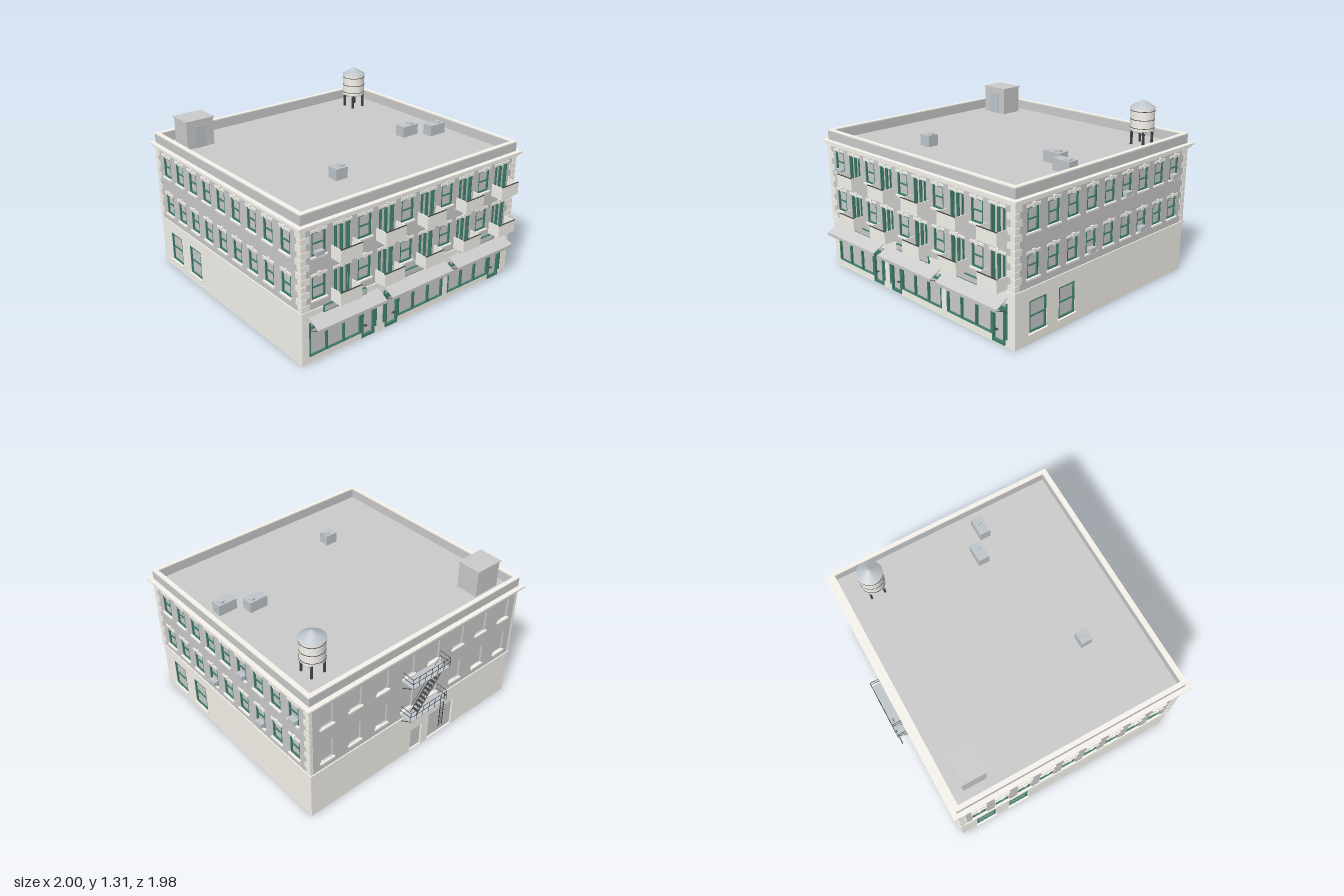
import * as THREE from 'three';

const mat = (color) => new THREE.MeshStandardMaterial({ color, side: THREE.DoubleSide });
const grey = mat(0xcccccc), trim = mat(0xf6f4ec), green = mat(0x3f7f6c), steel = mat(0xbfc6cb), dark = mat(0x444444);
const HX = 0.965, HZ = 0.89, T = 0.02;

function add(parent, name, geo, material, x = 0, y = 0, z = 0) {
  const m = new THREE.Mesh(geo, material);
  m.name = name;
  m.position.set(x, y, z);
  parent.add(m);
  return m;
}

// box given by its min and max corners
function box(parent, name, material, x0, x1, y0, y1, z0, z1) {
  return add(parent, name, new THREE.BoxGeometry(x1 - x0, y1 - y0, z1 - z0), material,
    (x0 + x1) / 2, (y0 + y1) / 2, (z0 + z1) / 2);
}

// round bar between two points
function bar(parent, name, material, a, b, r = 0.003) {
  const p = new THREE.Vector3(...a), q = new THREE.Vector3(...b);
  const m = add(parent, name, new THREE.CylinderGeometry(r, r, p.distanceTo(q), 6), material);
  m.position.copy(p).lerp(q, 0.5);
  m.quaternion.setFromUnitVectors(new THREE.Vector3(0, 1, 0), q.sub(p).normalize());
}

function rectPath(P, x0, x1, y0, y1) {
  const p = new P();
  p.moveTo(x0, y0); p.lineTo(x1, y0); p.lineTo(x1, y1); p.lineTo(x0, y1); p.closePath();
  return p;
}

// upright panel with rectangular holes [x0, x1, y0, y1]
function panel(parent, name, material, r, holes, z0, z1) {
  const s = rectPath(THREE.Shape, ...r);
  for (const h of holes) s.holes.push(rectPath(THREE.Path, ...h));
  return add(parent, name, new THREE.ExtrudeGeometry(s, { depth: z1 - z0, bevelEnabled: false }), material, 0, 0, z0);
}

// horizontal ring around the building: out = overhang beyond the walls
function ring(parent, name, material, out, thick, y0, y1) {
  const a = HX + out, b = HZ + out;
  const m = panel(parent, name, material, [-a, a, -b, b], [[-a + thick, a - thick, -b + thick, b - thick]], 0, y1 - y0);
  m.rotation.x = -Math.PI / 2;
  m.position.y = y0;
}

// sash window, or double door when split vertically; r is its opening
function opening(wall, name, r, { frame = green, split = 'h', lintel = true, sill = true } = {}) {
  const [x0, x1, y0, y1] = r, c = (x0 + x1) / 2, m = (y0 + y1) / 2, f = 0.01;
  const g = new THREE.Group();
  g.name = name;
  wall.add(g);
  box(g, 'glass', grey, x0, x1, y0, y1, -0.018, -0.014);
  if (frame) {
    panel(g, 'frame', frame, r, [[x0 + f, x1 - f, y0 + f, y1 - f]], -0.014, -0.002);
    if (split === 'h') box(g, 'meetingRail', frame, x0 + f, x1 - f, m - 0.004, m + 0.004, -0.014, -0.005);
    else for (const s of [-1, 1]) {
      box(g, 'doorStile', frame, c + s * 0.006 - 0.004, c + s * 0.006 + 0.004, y0, y1, -0.014, -0.003);
      box(g, 'sideStile', frame, c + s * 0.042 - 0.003, c + s * 0.042 + 0.003, y0, y1, -0.014, -0.003);
    }
  }
  if (sill) box(g, 'sill', trim, x0 - 0.01, x1 + 0.01, y0 - 0.012, y0, -0.01, 0.014);
  if (lintel) {
    box(g, 'lintel', trim, x0 - 0.009, x1 + 0.009, y1, y1 + 0.018, -0.01, 0.008);
    box(g, 'keystone', trim, c - 0.011, c + 0.011, y1 - 0.003, y1 + 0.028, -0.01, 0.012);
  }
}

const rect = (c, w, y0, y1) => [c - w / 2, c + w / 2, y0, y1];
const storeys = [0, 0.3];

// one face of the building, local z = 0 is its outer surface
function face(root, name, half, dist, turn, lower, upper) {
  const w = new THREE.Group();
  w.name = name;
  w.rotation.y = turn;
  w.position.set(Math.sin(turn) * dist, 0, Math.cos(turn) * dist);
  root.add(w);
  panel(w, 'groundWall', trim, [-half, half, 0, 0.38], lower, -T, 0);
  panel(w, 'upperWall', grey, [-half, half, 0.38, 0.96], upper, -T, 0);
  return w;
}

function frontFace(root) {
  const windows = [], doors = [], shops = [-0.625, -0.005, 0.615];
  for (const dy of storeys) for (let i = 0; i < 10; i++) {
    const c = -0.83 + i * 0.1833;
    if (i % 2) doors.push(rect(c, 0.13, 0.41 + dy, 0.62 + dy));
    else windows.push(rect(c, 0.107, 0.458 + dy, 0.62 + dy));
  }
  const w = face(root, 'frontFace', HX, HZ, 0, shops.map((c) => rect(c, 0.57, 0.004, 0.3)), [...windows, ...doors]);
  windows.forEach((r) => opening(w, 'frontWindow', r));
  box(w, 'windowCooler', steel, -0.862, -0.798, 0.76, 0.79, -0.01, 0.02);
  for (const r of doors) {
    opening(w, 'balconyDoor', r, { split: 'v', sill: false });
    // balcony with solid sides, open above
    const c = (r[0] + r[1]) / 2, y = r[2] - 0.008, a = c - 0.087, b = c + 0.087, g = new THREE.Group();
    g.name = 'balcony';
    w.add(g);
    box(g, 'balconyFloor', trim, a, b, y, y + 0.01, 0, 0.097);
    box(g, 'balconyFront', trim, a, b, y + 0.01, y + 0.09, 0.091, 0.097);
    for (const x of [a, b - 0.006]) box(g, 'balconySide', trim, x, x + 0.006, y + 0.01, y + 0.09, 0, 0.091);
    box(g, 'balconyRail', dark, a, b, y + 0.09, y + 0.094, 0.09, 0.098);
  }
  // shopfronts, the middle one mirrored
  shops.forEach((c, i) => {
    const g = new THREE.Group();
    g.name = 'shopfront';
    g.position.x = c;
    w.add(g);
    const s = i === 1 ? -1 : 1;
    const span = (n, m, x0, x1, ...rest) => box(g, n, m, Math.min(s * x0, s * x1), Math.max(s * x0, s * x1), ...rest);
    span('shopGlass', grey, -0.285, 0.285, 0.004, 0.3, -0.019, -0.016);
    span('bulkhead', trim, -0.285, 0.15, 0, 0.048, -0.016, -0.002);
    span('bulkhead', trim, 0.265, 0.285, 0, 0.048, -0.016, -0.002);
    span('shopSill', green, -0.285, 0.15, 0.048, 0.056, -0.016, 0);
    span('transom', green, -0.285, 0.285, 0.25, 0.264, -0.016, 0);
    for (const x of [-0.278, -0.142, 0, 0.142, 0.275])
      span('mullion', green, x - 0.007, x + 0.007, 0.05, 0.3, -0.016, 0);
    panel(g, 'shopDoor', green, s > 0 ? [0.15, 0.262, 0.006, 0.25] : [-0.262, -0.15, 0.006, 0.25],
      [s > 0 ? [0.164, 0.248, 0.024, 0.236] : [-0.248, -0.164, 0.024, 0.236]], -0.016, 0.002);
    span('doorHandle', dark, 0.17, 0.195, 0.09, 0.094, -0.012, 0.006);
    // sloping awning with valance and struts
    const p = new THREE.Shape();
    [[0, 0.342], [0.095, 0.294], [0.095, 0.272], [0.091, 0.272], [0.091, 0.29], [0, 0.335]]
      .forEach(([z, y], k) => (k ? p.lineTo(-z, y) : p.moveTo(-z, y)));
    const a = add(g, 'awning', new THREE.ExtrudeGeometry(p, { depth: 0.57, bevelEnabled: false }), grey, -0.285);
    a.rotation.y = Math.PI / 2;
    for (const x of [-0.28, 0.28]) bar(g, 'awningStrut', dark, [x, 0.245, 0], [x, 0.285, 0.092], 0.002);
    // blank sign board
    box(g, 'signFrame', green, -0.175, 0.175, 0.345, 0.392, 0, 0.012);
    box(g, 'signBoard', grey, -0.169, 0.169, 0.351, 0.386, 0.01, 0.014);
  });
}

function sideFace(root, name, turn, coolers) {
  const upper = [], lower = [rect(-0.683, 0.155, 0.075, 0.297), rect(-0.41, 0.155, 0.075, 0.297)];
  for (const dy of storeys) for (let i = 0; i < 9; i++) upper.push(rect(-0.735 + i * 0.1837, 0.1, 0.455 + dy, 0.615 + dy));
  const w = face(root, name, HZ - T, HX, turn, lower, upper);
  upper.forEach((r) => opening(w, 'sideWindow', r));
  lower.forEach((r) => opening(w, 'groundWindow', r, { lintel: false }));
  for (const i of coolers) {
    const [x0, x1, y0] = upper[i];
    box(w, 'windowCooler', steel, x0 + 0.018, x1 - 0.018, y0, y0 + 0.034, -0.012, 0.026);
  }
}

function backFace(root) {
  const upper = [], doors = [rect(0, 0.11, 0.004, 0.2), rect(0.25, 0.25, 0.004, 0.245)];
  for (const dy of storeys) for (let i = 0; i < 8; i++) upper.push(rect(-0.83 + i * 0.237, 0.1, 0.455 + dy, 0.615 + dy));
  const w = face(root, 'backFace', HX, HZ, Math.PI, doors, upper);
  upper.forEach((r) => opening(w, 'backWindow', r, { frame: null, lintel: false }));
  doors.forEach((r) => opening(w, 'backDoor', r, { frame: null, lintel: false, sill: false }));

  // fire escape: two landings, a stair and a drop ladder
  const f = new THREE.Group();
  f.name = 'fireEscape';
  w.add(f);
  for (const y of [0.435, 0.735]) {
    box(f, 'landing', steel, -0.175, 0.175, y - 0.004, y, 0, 0.1);
    for (const h of [0.04, 0.08]) {
      bar(f, 'rail', dark, [-0.175, y + h, 0.1], [0.175, y + h, 0.1], 0.002);
      for (const x of [-0.175, 0.175]) bar(f, 'endRail', dark, [x, y + h, 0], [x, y + h, 0.1], 0.002);
    }
    for (let i = 0; i <= 6; i++) bar(f, 'post', dark, [-0.175 + i * 0.0583, y, 0.1], [-0.175 + i * 0.0583, y + 0.08, 0.1], 0.002);
    for (const x of [-0.165, 0.165]) bar(f, 'bracket', dark, [x, y - 0.065, 0], [x, y - 0.004, 0.1]);
  }
  for (const z of [0.025, 0.075]) {
    bar(f, 'stairString', dark, [-0.1, 0.435, z], [0.15, 0.735, z], 0.004);
    bar(f, 'stairRail', dark, [-0.1, 0.485, z], [0.15, 0.785, z], 0.002);
  }
  for (let i = 1; i < 12; i++) {
    const x = -0.1 + i * 0.25 / 12, y = 0.435 + i * 0.3 / 12;
    box(f, 'tread', dark, x - 0.01, x + 0.01, y - 0.0015, y + 0.0015, 0.025, 0.075);
  }
  for (const x of [0.13, 0.165]) bar(f, 'ladderRail', dark, [x, 0.2, 0.09], [x, 0.5, 0.09]);
  for (let y = 0.215; y < 0.43; y += 0.025) bar(f, 'rung', dark, [0.13, y, 0.09], [0.165, y, 0.09], 0.002);
}

function roofParts(root) {
  box(root, 'roofDeck', grey, -HX + 0.02, HX - 0.02, 0.975, 0.985, -HZ + 0.02, HZ - 0.02);
  // stair hut
  box(root, 'stairHut', grey, -0.855, -0.635, 0.98, 1.19, -0.78, -0.605);
  box(root, 'hutRoof', grey, -0.862, -0.628, 1.19, 1.198, -0.788, -0.598);
  box(root, 'hutDoor', steel, -0.79, -0.7, 0.985, 1.15, -0.605, -0.601);
  // ventilation units
  for (const [x0, x1, z0, z1, fx] of [[0.53, 0.675, 0.095, 0.18, 0.632], [0.71, 0.855, 0.205, 0.287, 0.812], [-0.375, -0.28, 0.415, 0.5, -0.307]]) {
    box(root, 'ventUnit', steel, x0, x1, 0.98, 1.066, z0, z1);
    add(root, 'ventFan', new THREE.CylinderGeometry(0.025, 0.025, 0.012, 20), steel, fx, 1.07, (z0 + z1) / 2);
  }
  // water tank on legs
  const t = new THREE.Group();
  t.name = 'waterTank';
  t.position.set(0.735, 0, -0.645);
  root.add(t);
  add(t, 'tankBody', new THREE.CylinderGeometry(0.087, 0.087, 0.165, 32), trim, 0, 1.1775);
  add(t, 'tankRoof', new THREE.ConeGeometry(0.093, 0.055, 32), steel, 0, 1.287);
  for (const y of [1.115, 1.175, 1.238]) add(t, 'tankHoop', new THREE.CylinderGeometry(0.0885, 0.0885, 0.004, 32), dark, 0, y);
  for (const s of [-1, 1]) {
    box(t, 'tankBeam', steel, -0.07, 0.07, 1.08, 1.095, s * 0.05 - 0.008, s * 0.05 + 0.008);
    for (const q of [-1, 1]) box(t, 'tankLeg', dark, s * 0.052 - 0.007, s * 0.052 + 0.007, 0.98, 1.09, q * 0.052 - 0.007, q * 0.052 + 0.007);
  }
}

export function createModel() {
  const root = new THREE.Group();
  root.name = 'cornerBuilding';
  frontFace(root);
  sideFace(root, 'rightFace', Math.PI / 2, [14, 17, 3, 6]);
  sideFace(root, 'leftFace', -Math.PI / 2, []);
  backFace(root);

  // alternating corner stones; the rear pair stays flush with the back
  for (const s of [-1, 1]) for (const q of [-1, 1]) for (let i = 0; i < 12; i++) {
    const w = i % 2 ? 0.035 : 0.062, d = i % 2 ? 0.055 : 0.035, y = 0.392 + i * 0.0465;
    const x = [s * (HX + 0.005), s * (HX - (q > 0 ? w : T))].sort((a, b) => a - b);
    const z = [q * (HZ + (q > 0 ? 0.005 : 0.001)), q * (HZ - d)].sort((a, b) => a - b);
    box(root, 'cornerStone', trim, ...x, y, y + 0.0435, ...z);
  }

  // band course, stepped cornice and parapet
  ring(root, 'bandCourse', trim, 0.008, 0.02, 0.372, 0.39);
  ring(root, 'corniceLower', trim, 0.012, 0.03, 0.95, 0.963);
  ring(root, 'corniceMiddle', trim, 0.024, 0.05, 0.963, 0.977);
  ring(root, 'corniceTop', trim, 0.035, 0.06, 0.977, 0.99);
  ring(root, 'parapet', grey, 0, 0.03, 0.96, 1.056);
  ring(root, 'coping', trim, 0.002, 0.034, 1.056, 1.064);
  roofParts(root);
  return root;
}
